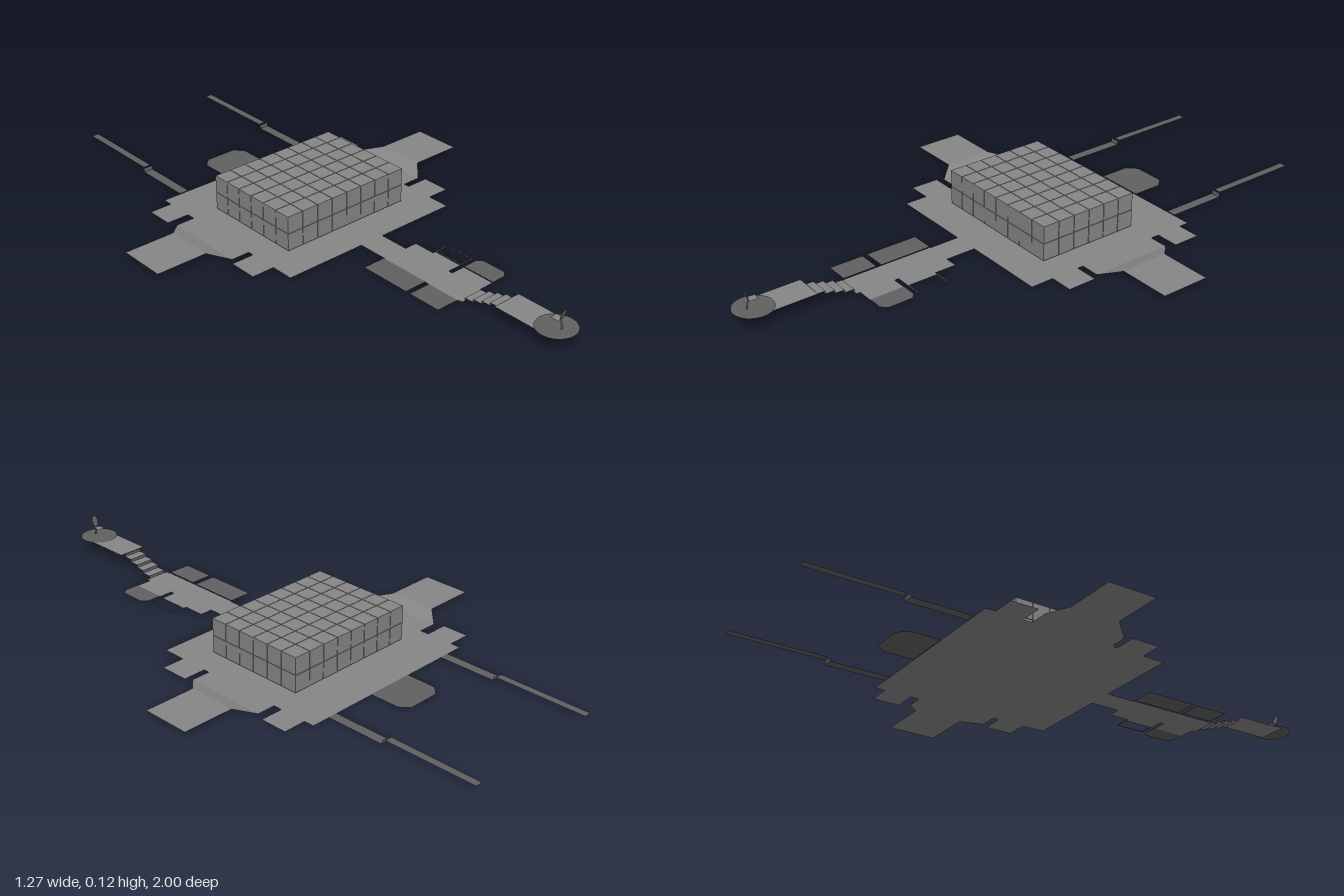
import * as THREE from 'three';

const lightGrey = new THREE.MeshStandardMaterial({ color: 0x868686, side: THREE.DoubleSide });
lightGrey.name = 'light grey';
const darkGrey = new THREE.MeshStandardMaterial({ color: 0x606060, side: THREE.DoubleSide });
darkGrey.name = 'dark grey';

export function createModel() {
  const model = new THREE.Group();
  model.name = 'deckPlan';

  const add = (name, geometry, material, x = 0, y = 0, z = 0) => {
    const mesh = new THREE.Mesh(geometry, material);
    mesh.name = name;
    mesh.position.set(x, y, z);
    model.add(mesh);
    return mesh;
  };

  // Flat floor sheet facing up, from a list of [x, z] corners
  const sheet = (name, points, material, y, hole) => {
    const toVec = ([x, z]) => new THREE.Vector2(x, -z);
    const shape = new THREE.Shape(points.map(toVec));
    if (hole) shape.holes.push(new THREE.Path(hole.map(toVec)));
    return add(name, new THREE.ShapeGeometry(shape).rotateX(-Math.PI / 2), material, 0, y, 0);
  };
  const rect = (x0, x1, z0, z1) => [[x0, z0], [x0, z1], [x1, z1], [x1, z0]];

  // Four-cornered sheet in any orientation
  const quad = (name, corners, material) => {
    const g = new THREE.BufferGeometry();
    g.setAttribute('position', new THREE.Float32BufferAttribute(corners.flat(), 3));
    g.setIndex([0, 1, 2, 0, 2, 3]);
    g.computeVertexNormals();
    return add(name, g, material);
  };

  // Main floor with side tabs
  const half = [
    [0.335, -0.465], [0.335, -0.43], [0.415, -0.43], [0.415, -0.335], [0.335, -0.335],
    [0.335, -0.305], [0.4, -0.305], [0.4, -0.02], [0.335, -0.02], [0.335, 0.0],
    [0.415, 0.0], [0.415, 0.1], [0.335, 0.1], [0.335, 0.18], [0.045, 0.18], [0.045, 0.285],
  ];
  const mirrored = half.map(([x, z]) => [-x, z]).reverse();
  sheet('mainFloor', [...half, ...mirrored], lightGrey, 0);

  for (const s of [-1, 1]) {
    const side = s > 0 ? 'left' : 'right';
    // Tapered ramp up to the wing floor
    const ramp = [
      [s * 0.4, 0, -0.305], [s * 0.4, 0, -0.02],
      [s * 0.455, 0.016, -0.08], [s * 0.455, 0.016, -0.25],
    ];
    quad(side + 'WingRamp', s > 0 ? ramp : ramp.reverse(), lightGrey);
    sheet(side + 'WingFloor', rect(s * 0.455, s * 0.635, -0.25, -0.08), lightGrey, 0.016);

    // Long rear walkway: lower part, riser and raised part
    sheet(side + 'RearWalkway', rect(s * 0.238, s * 0.272, -0.67, -0.465), darkGrey, 0.002);
    quad(side + 'WalkwayRiser', [
      [s * 0.238, 0.002, -0.67], [s * 0.272, 0.002, -0.67],
      [s * 0.272, 0.015, -0.672], [s * 0.238, 0.015, -0.672],
    ], darkGrey);
    sheet(side + 'RaisedWalkway', rect(s * 0.24, s * 0.266, -1, -0.679), darkGrey, 0.015);
  }

  // Rear room
  sheet('rearRoom', [
    [-0.082, -0.465], [0.086, -0.465], [0.086, -0.57], [0.058, -0.6], [-0.052, -0.6], [-0.082, -0.57],
  ], darkGrey, 0.002);

  // Cargo stack: eight columns, six rows, two layers
  const pitch = 0.0607;
  const crate = new THREE.BoxGeometry(0.0588, 0.0588, 0.0588);
  const stack = new THREE.Group();
  stack.name = 'cargoStack';
  for (let i = 0; i < 8; i++)
    for (let j = 0; j < 6; j++)
      for (let k = 0; k < 2; k++) {
        const mesh = new THREE.Mesh(crate, lightGrey);
        mesh.name = 'crate';
        mesh.position.set((i - 3.5) * pitch, 0.0335 + k * pitch, -0.121 + (j - 2.5) * pitch);
        stack.add(mesh);
      }
  model.add(stack);

  // Front corridor and its rooms
  sheet('frontCorridor', [
    [-0.048, 0.285], [0.09, 0.285], [0.09, 0.36], [0.1, 0.36], [0.1, 0.468], [0.05, 0.468],
    [0.05, 0.482], [0.1, 0.482], [0.1, 0.602], [0.045, 0.602], [0.045, 0.615],
    [-0.045, 0.615], [-0.045, 0.602], [-0.048, 0.602],
  ], lightGrey, 0);
  sheet('rightRoom', rect(-0.13, -0.048, 0.285, 0.466), darkGrey, 0.002);
  sheet('rightFrontRoom', rect(-0.13, -0.05, 0.482, 0.6), darkGrey, 0.002);
  sheet('leftFrontRoom', [
    [0.1, 0.482], [0.152, 0.482], [0.17, 0.498], [0.17, 0.585], [0.152, 0.602], [0.1, 0.602],
  ], darkGrey, 0.002);
  sheet('hatchFrame', rect(0.1, 0.153, 0.36, 0.47), darkGrey, 0.002, rect(0.105, 0.148, 0.365, 0.465));

  // Stairs rising to the front platform
  const steps = 4, rise = 0.052 / (steps + 1), run = 0.13 / steps;
  for (let i = 0; i <= steps; i++) {
    const z = 0.615 + i * run, y = i * rise;
    add('stairRiser', new THREE.PlaneGeometry(0.068, rise), darkGrey, 0, y + rise / 2, z);
    if (i < steps) sheet('stairTread', rect(-0.034, 0.034, z, z + run), lightGrey, y + rise);
  }

  // Front platform and round end
  sheet('frontPlatform', rect(-0.052, 0.05, 0.746, 0.93), lightGrey, 0.052);
  add('roundPlatform', new THREE.CircleGeometry(0.064, 32).rotateX(-Math.PI / 2), darkGrey, 0, 0.055, 0.931);

  // Pilot seat: post, cushion and tilted rounded back
  quad('seatPost', [
    [-0.004, 0.055, 0.951], [0.004, 0.055, 0.951], [0.004, 0.085, 0.944], [-0.004, 0.085, 0.944],
  ], darkGrey);
  sheet('seatCushion', rect(-0.013, 0.013, 0.917, 0.944), lightGrey, 0.085);
  const back = add('seatBack', new THREE.CircleGeometry(0.02, 16).scale(0.6, 1, 1), darkGrey, 0, 0.105, 0.951);
  back.rotation.x = 0.33;

  return model;
}
